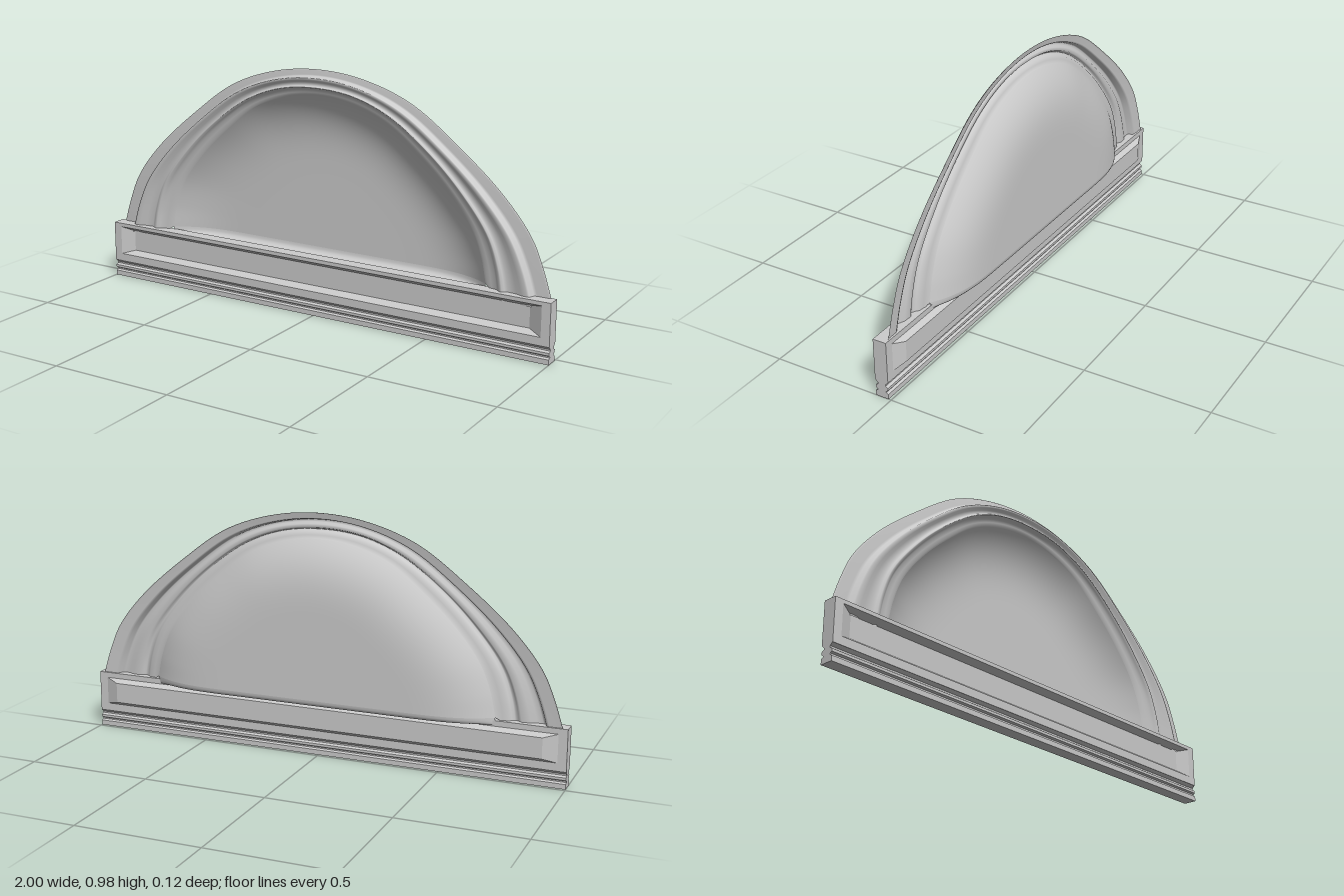
import * as THREE from 'three';
import { mergeVertices } from 'three/addons/utils/BufferGeometryUtils.js';

const N = 96; // samples along the arch
const grey = (opts = {}) => new THREE.MeshStandardMaterial({ color: 0xcccccc, ...opts });

// Mirrored smooth arch from its left half (last point is the apex)
function arch(half) {
  const pts = half.map(([x, y]) => new THREE.Vector3(x, y, 0));
  const right = half.slice(0, -1).reverse().map(([x, y]) => new THREE.Vector3(-x, y, 0));
  return new THREE.CatmullRomCurve3([...pts, ...right], false, 'centripetal').getPoints(N);
}

// Smooth surface through rows of equally many points
function sheet(rows) {
  const pos = [], idx = [], n = rows[0].length;
  rows.forEach(row => row.forEach(p => pos.push(p.x, p.y, p.z)));
  for (let r = 0; r < rows.length - 1; r++) {
    for (let i = 0; i < n - 1; i++) {
      const a = r * n + i, b = a + n;
      idx.push(a, a + 1, b, a + 1, b + 1, b);
    }
  }
  let g = new THREE.BufferGeometry();
  g.setAttribute('position', new THREE.Float32BufferAttribute(pos, 3));
  g.setIndex(idx);
  g = mergeVertices(g, 1e-5);
  g.computeVertexNormals();
  return g;
}

// Closed solid lofted through rectangles [halfWidth, y0, y1, z], front to back
function rectLoft(rects) {
  const pos = [], idx = [];
  rects.forEach(([w, a, b, z]) => pos.push(-w, a, z, w, a, z, w, b, z, -w, b, z));
  for (let r = 0; r < rects.length - 1; r++) {
    for (let i = 0; i < 4; i++) {
      const a = r * 4 + i, b = r * 4 + (i + 1) % 4;
      idx.push(a, a + 4, b + 4, a, b + 4, b);
    }
  }
  const e = (rects.length - 1) * 4;
  idx.push(0, 1, 2, 0, 2, 3, e, e + 2, e + 1, e, e + 3, e + 2);
  const g = new THREE.BufferGeometry();
  g.setAttribute('position', new THREE.Float32BufferAttribute(pos, 3));
  g.setIndex(idx);
  const flat = g.toNonIndexed();
  flat.computeVertexNormals();
  return flat;
}

export function createModel() {
  const model = new THREE.Group();
  model.name = 'archedPanel';
  const add = (name, geometry, material) => {
    const mesh = new THREE.Mesh(geometry, material);
    mesh.name = name;
    model.add(mesh);
  };

  // Contours from the outer rim to the edge of the dished panel
  const contours = [
    [[-0.99, 0.2], [-0.945, 0.34], [-0.895, 0.45], [-0.78, 0.59], [-0.6, 0.745], [-0.4, 0.885], [-0.2, 0.955], [0, 0.977]],
    [[-0.915, 0.2], [-0.875, 0.33], [-0.82, 0.445], [-0.71, 0.58], [-0.55, 0.725], [-0.37, 0.855], [-0.19, 0.924], [0, 0.947]],
    [[-0.795, 0.2], [-0.775, 0.32], [-0.73, 0.44], [-0.62, 0.585], [-0.48, 0.72], [-0.32, 0.832], [-0.165, 0.891], [0, 0.908]],
    [[-0.72, 0.245], [-0.7, 0.34], [-0.655, 0.45], [-0.56, 0.575], [-0.435, 0.695], [-0.295, 0.8], [-0.15, 0.856], [0, 0.875]],
  ].map(arch);

  // Moulded frame: [position between contours, z]
  const moulding = [
    [0, 0.014], [0.1, 0.018], [0.7, 0.018], [0.85, 0.022], [0.97, 0.043], [1.05, 0.045], [1.25, 0.044],
    [1.45, 0.034], [1.75, 0.031], [1.85, 0.038], [1.93, 0.043], [2.0, 0.043], [2.15, 0.036],
    [2.3, 0.027], [2.6, 0.024], [2.85, 0.02], [3, 0.015],
  ];
  const frameRows = moulding.map(([t, z]) => {
    const k = Math.min(Math.floor(t), 2);
    return contours[k].map((p, i) => p.clone().lerp(contours[k + 1][i], t - k).setZ(z));
  });
  add('archFrame', sheet(frameRows), grey({ side: THREE.DoubleSide }));

  // Dished panel, bulging to the back
  const centre = new THREE.Vector3(0, 0.245, 0);
  const dish = v => 0.015 - 0.075 * (1 - Math.pow(1 - Math.min(v / 0.5, 1), 3.3));
  const steps = 40;
  const bowlRows = [];
  for (let j = 0; j <= steps; j++) {
    const v = Math.pow(j / steps, 1.5);
    bowlRows.push(contours[3].map(p => p.clone().lerp(centre, v).setZ(dish(v))));
  }
  add('dishedPanel', sheet(bowlRows), grey({ side: THREE.DoubleSide }));

  // Rounded floor closing the bottom of the dish
  const left = bowlRows.map(row => row[0]);
  const right = bowlRows.slice(0, -1).reverse().map(row => row[N]);
  const edge = [...left, ...right];
  const floorRows = [[0.245, 1], [0.236, 0.985], [0.228, 0.94], [0.222, 0.85], [0.218, 0.6], [0.216, 0]]
    .map(([y, k]) => edge.map(p => new THREE.Vector3(p.x, y, 0.015 + (p.z - 0.015) * k)));
  add('dishFloor', sheet(floorRows), grey({ side: THREE.DoubleSide }));

  // Beam with a panel sunk into the front and standing out at the back
  add('beam', rectLoft([
    [0.91, 0.117, 0.203, 0.04], [0.965, 0.1, 0.22, 0.065], [1, 0.068, 0.235, 0.065],
    [1, 0.068, 0.235, 0.01], [0.965, 0.1, 0.213, 0.01], [0.91, 0.115, 0.198, -0.01],
  ]), grey({ flatShading: true }));

  // Grooved foot rail: [half depth, y], mirrored about the beam's middle plane
  const side = [[0.027, 0], [0.027, 0.02], [0.018, 0.025], [0.018, 0.03], [0.026, 0.035], [0.026, 0.045],
    [0.016, 0.051], [0.016, 0.057], [0.0275, 0.069]];
  const mid = 0.0375;
  const profile = [...side.map(([d, y]) => new THREE.Vector2(-d - mid, y)),
    ...side.slice().reverse().map(([d, y]) => new THREE.Vector2(d - mid, y))];
  const rail = new THREE.ExtrudeGeometry(new THREE.Shape(profile), { depth: 2, bevelEnabled: false });
  rail.translate(0, 0, -1).rotateY(Math.PI / 2);
  add('footRail', rail, grey({ flatShading: true }));

  return model;
}
